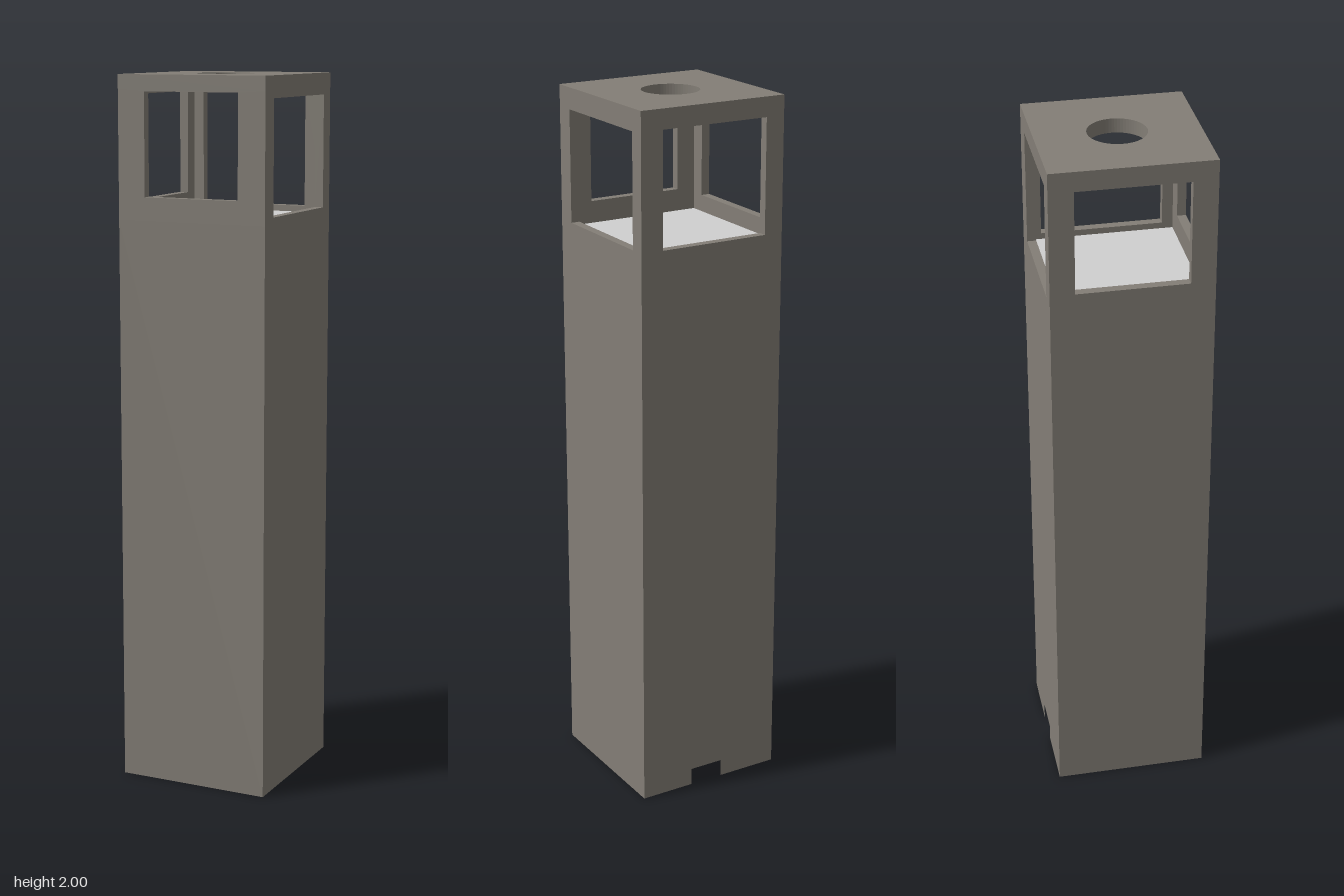
import * as THREE from 'three';

const HALF = 0.22;    // half width of the square column
const WALL = 0.025;   // lantern wall thickness
const FLOOR = 1.605;  // lantern floor level
const ROOF = 1.96;    // underside of the roof slab

const stone = new THREE.MeshStandardMaterial({ color: 0x837e76, side: THREE.DoubleSide });
stone.name = 'warm grey stone';
const pale = new THREE.MeshStandardMaterial({ color: 0xd0d0d0, side: THREE.DoubleSide });
pale.name = 'pale grey floor';

function rect(Type, x0, x1, y0, y1) {
  const p = new Type();
  p.moveTo(x0, y0).lineTo(x1, y0).lineTo(x1, y1).lineTo(x0, y1).closePath();
  return p;
}

function add(parent, name, geometry, material) {
  const mesh = new THREE.Mesh(geometry, material);
  mesh.name = name;
  parent.add(mesh);
  return mesh;
}

export function createModel() {
  const model = new THREE.Group();
  model.name = 'squareLanternColumn';

  // Sides in local coordinates: facing angle, and window edges [x0, x1, y0, y1]
  const sides = [
    { name: 'front', angle: 0, window: [-0.14, 0.14, 1.67, 1.955] },
    { name: 'left', angle: Math.PI / 2, window: [-0.165, 0.175, 1.625, 1.94] },
    { name: 'back', angle: Math.PI, window: [-0.155, 0.165, 1.625, 1.945], notch: [-0.06, 0.04, 0.05] },
    { name: 'right', angle: -Math.PI / 2, window: [-0.153, 0.153, 1.655, 1.945] },
  ];

  sides.forEach((s, i) => {
    const side = new THREE.Group();
    side.name = s.name + 'Side';
    side.rotation.y = s.angle;
    model.add(side);

    // Thin lower wall, with a cable notch at the back
    const lower = new THREE.Shape();
    lower.moveTo(-HALF, 0);
    if (s.notch) {
      const [a, b, h] = s.notch;
      lower.lineTo(a, 0).lineTo(a, h).lineTo(b, h).lineTo(b, 0);
    }
    lower.lineTo(HALF, 0).lineTo(HALF, FLOOR).lineTo(-HALF, FLOOR).closePath();
    add(side, s.name + 'LowerWall', new THREE.ShapeGeometry(lower), stone).position.z = HALF;

    // Thick lantern wall with its window; alternate sides fit between the others
    const w = i % 2 ? HALF - WALL : HALF;
    const upper = rect(THREE.Shape, -w, w, FLOOR, ROOF);
    upper.holes.push(rect(THREE.Path, ...s.window));
    const wall = new THREE.ExtrudeGeometry(upper, { depth: WALL, bevelEnabled: false });
    add(side, s.name + 'WindowWall', wall, stone).position.z = HALF - WALL;
  });

  // Roof slab with a round opening
  const roof = rect(THREE.Shape, -HALF, HALF, -HALF, HALF);
  roof.holes.push(new THREE.Path().absarc(0, 0, 0.08, 0, Math.PI * 2, true));
  const slab = new THREE.ExtrudeGeometry(roof, { depth: 2 - ROOF, bevelEnabled: false, curveSegments: 32 });
  slab.rotateX(-Math.PI / 2);
  add(model, 'roof', slab, stone).position.y = ROOF;

  // Pale floor inside the lantern
  const floor = new THREE.PlaneGeometry(2 * HALF - 0.002, 2 * HALF - 0.002);
  floor.rotateX(-Math.PI / 2);
  add(model, 'lanternFloor', floor, pale).position.y = FLOOR + 0.003;

  return model;
}
